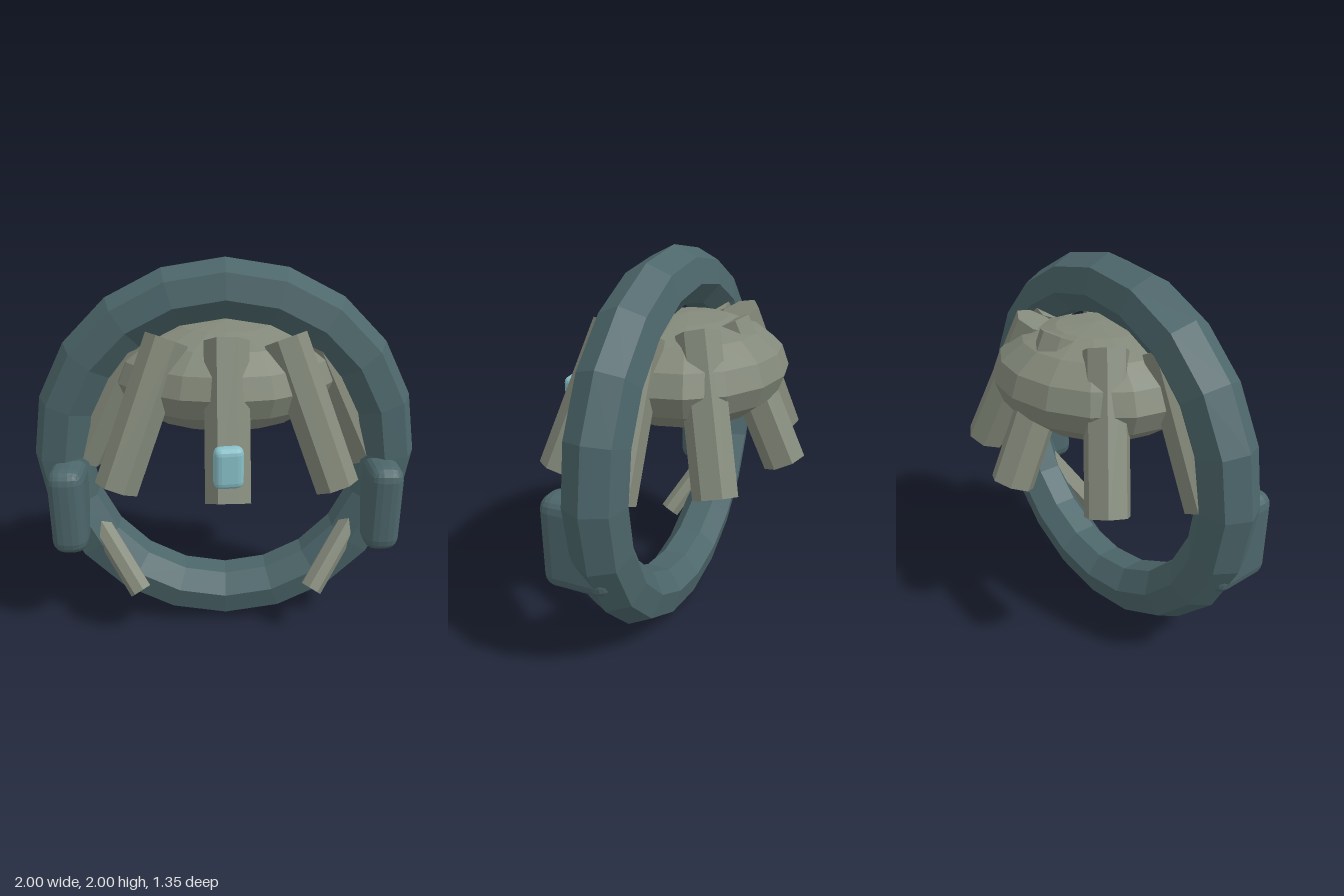
import * as THREE from 'three';
import { RoundedBoxGeometry } from 'three/addons/geometries/RoundedBoxGeometry.js';

const V = (x, y, z) => new THREE.Vector3(x, y, z);

// Faceted copy of a geometry
function faceted(geometry) {
  const g = geometry.index ? geometry.toNonIndexed() : geometry;
  g.computeVertexNormals();
  return g;
}

export function createModel() {
  const model = new THREE.Group();
  const ringBlue = new THREE.MeshStandardMaterial({ color: 0x4c666a });
  ringBlue.name = 'slate blue';
  const stone = new THREE.MeshStandardMaterial({ color: 0x83897a });
  stone.name = 'grey green';
  const glass = new THREE.MeshStandardMaterial({ color: 0x88bfc7 });
  glass.name = 'pale cyan';

  function add(name, geometry, material, x, y, z) {
    const mesh = new THREE.Mesh(faceted(geometry), material);
    mesh.name = name;
    mesh.position.set(x, y, z);
    model.add(mesh);
    return mesh;
  }

  // Seven-sided strut running from a to b
  function strut(name, a, b, radius) {
    const dir = b.clone().sub(a);
    const mid = a.clone().add(b).multiplyScalar(0.5);
    const mesh = add(name, new THREE.CylinderGeometry(radius, radius, dir.length(), 7), stone, mid.x, mid.y, mid.z);
    mesh.quaternion.setFromUnitVectors(V(0, 1, 0), dir.normalize());
  }

  // Upright ring
  add('ring', new THREE.TorusGeometry(0.85, 0.148, 7, 20), ringBlue, 0, 1.002, 0.028);

  // Flattened hull
  const hull = new THREE.SphereGeometry(1, 16, 8);
  hull.scale(0.57, 0.27, 0.5);
  add('hull', hull, stone, 0, 1.41, -0.05);

  // Eight splayed legs on an oval
  for (let i = 0; i < 8; i++) {
    const angle = (i * Math.PI) / 4;
    const foot = V(0.75 * Math.sin(angle), 0.967, 0.577 * Math.cos(angle));
    const out = V(foot.x, 0, foot.z).normalize();
    const top = foot.clone().addScaledVector(out, -0.317);
    top.y = 1.647;
    strut('leg', top, foot, 0.108);
  }

  // Pods and lower struts on both sides of the ring
  for (const side of [-1, 1]) {
    add(side > 0 ? 'leftPod' : 'rightPod', new RoundedBoxGeometry(0.185, 0.47, 0.35, 2, 0.07), ringBlue, side * 0.81, 0.765, 0.14);
    strut(side > 0 ? 'leftStrut' : 'rightStrut', V(side * 0.71, 0.65, 0.06), V(side * 0.455, 0.29, 0.265), 0.06);
  }

  // Small sensor in front of the forward leg
  const sensor = add('sensor', new RoundedBoxGeometry(0.135, 0.195, 0.075, 2, 0.032), glass, 0, 1.175, 0.638);
  sensor.rotation.y = 0.13;

  return model;
}
